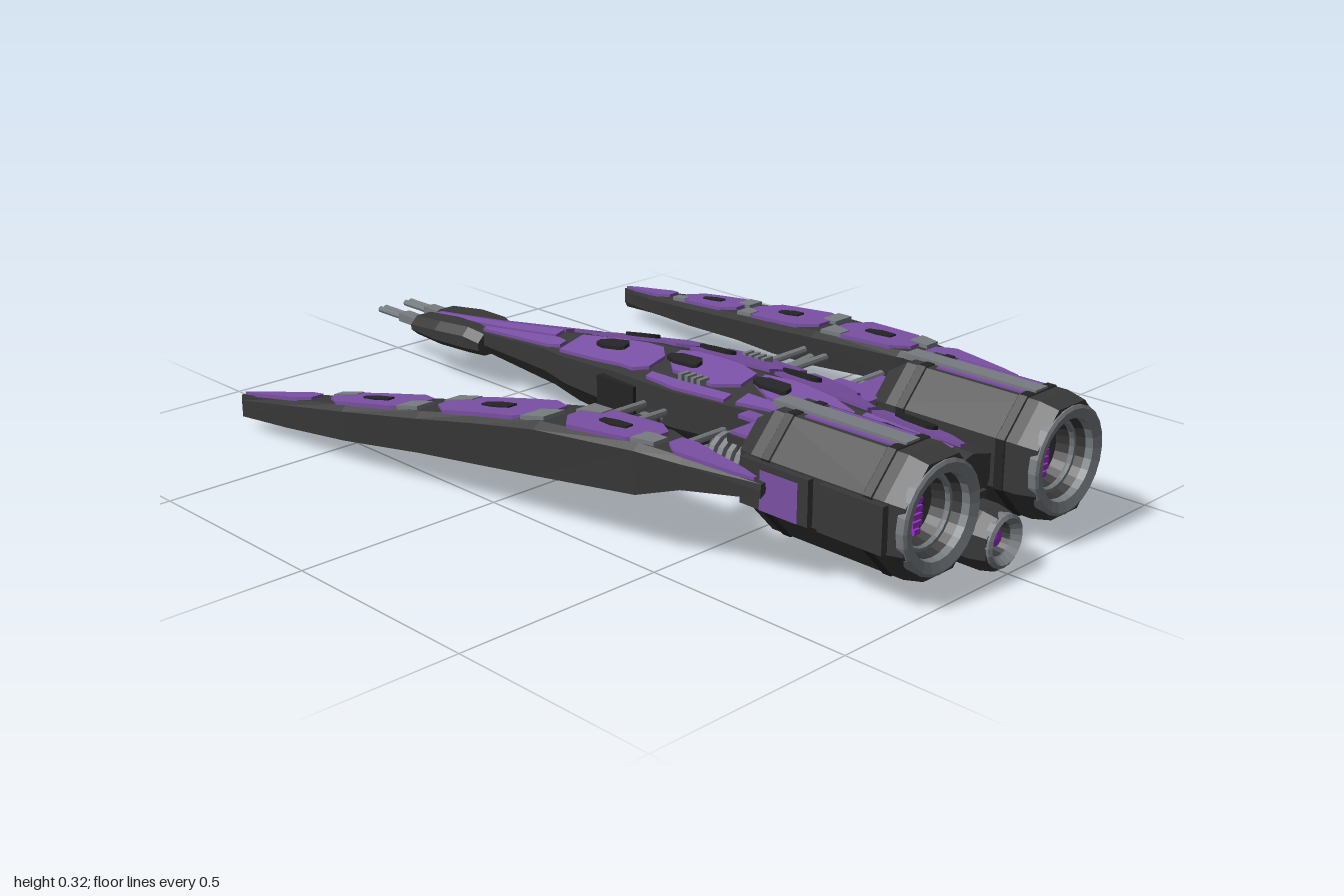
import * as THREE from 'three';

const mat = (name, color) => {
  const m = new THREE.MeshStandardMaterial({ color });
  m.name = name;
  return m;
};
const lerp = THREE.MathUtils.lerp;

// Interpolates every column of a table of rows keyed by z (descending)
function sample(table, z) {
  let i = 0;
  while (i < table.length - 2 && z < table[i + 1][0]) i++;
  const [a, b] = [table[i], table[i + 1]];
  const t = THREE.MathUtils.clamp((z - a[0]) / (b[0] - a[0]), 0, 1);
  return a.map((v, k) => lerp(v, b[k], t));
}

// Closed solid through rings of [x, y, z] points, always turned outward
function loft(rings) {
  const n = rings[0].length, tris = [];
  for (let i = 0; i < rings.length - 1; i++) {
    for (let j = 0; j < n; j++) {
      const k = (j + 1) % n, a = rings[i], b = rings[i + 1];
      tris.push([a[j], a[k], b[k]], [a[j], b[k], b[j]]);
    }
  }
  const last = rings[rings.length - 1];
  for (let j = 1; j < n - 1; j++) {
    tris.push([rings[0][0], rings[0][j + 1], rings[0][j]], [last[0], last[j], last[j + 1]]);
  }
  const V = (p) => new THREE.Vector3(...p);
  const volume = tris.reduce((s, t) => s + V(t[0]).dot(V(t[1]).cross(V(t[2]))), 0);
  if (volume < 0) tris.forEach((t) => t.reverse());
  const g = new THREE.BufferGeometry();
  g.setAttribute('position', new THREE.Float32BufferAttribute(tris.flat(2), 3));
  return g;
}

// Thin plate that follows a surface y(x, z); rows are [z, innerX, outerX]
function strip(surface, rows, lift = 0.008, toX = (u) => u) {
  const rings = [];
  rows.forEach((r, i) => {
    const next = rows[i + 1], steps = next ? 3 : 1;
    for (let s = 0; s < steps; s++) {
      const [z, a, b] = next ? r.map((v, k) => lerp(v, next[k], s / steps)) : r;
      const xa = toX(a, z), xb = toX(b, z), ya = surface(xa, z) + lift, yb = surface(xb, z) + lift;
      rings.push([[xa, ya, z], [xb, yb, z], [xb, yb - 0.0095, z], [xa, ya - 0.0095, z]]);
    }
  });
  return loft(rings);
}

const box = (x, y, z, w, h, d) => new THREE.BoxGeometry(w, h, d).translate(x, y, z);
// Turned part along z; profile points are [radius, z]
const turned = (pts, sides, x, y, sx = 1, phase = 0) =>
  new THREE.LatheGeometry(pts.map((p) => new THREE.Vector2(...p)), sides, phase)
    .rotateX(Math.PI / 2).scale(sx, 1, 1).translate(x, y, 0);
function rod(a, b, r, sides = 8) {
  const p = new THREE.Vector3(...a), q = new THREE.Vector3(...b), d = q.clone().sub(p);
  const turn = new THREE.Quaternion().setFromUnitVectors(new THREE.Vector3(0, 1, 0), d.clone().normalize());
  const mid = p.add(q).multiplyScalar(0.5);
  return new THREE.CylinderGeometry(r, r, d.length(), sides).applyQuaternion(turn).translate(mid.x, mid.y, mid.z);
}

// z, half width, ridge height, belly height
const HULL = [
  [0.9, 0.06, 0.235, 0.12], [0.6, 0.09, 0.25, 0.1], [0.45, 0.13, 0.265, 0.085], [0.2, 0.155, 0.265, 0.075],
  [0, 0.14, 0.255, 0.075], [-0.2, 0.11, 0.225, 0.08], [-0.3, 0.085, 0.21, 0.09],
  [-0.58, 0.05, 0.17, 0.1], [-0.82, 0.022, 0.142, 0.11],
];
const hullY = (x, z) => sample(HULL, z)[2] - 0.25 * Math.abs(x);

// z, inner x, outer x, top height, depth of outer edge
const WING = [
  [0.72, 0.415, 0.43, 0.24, 0.03], [0.53, 0.385, 0.46, 0.25, 0.07], [0.42, 0.35, 0.48, 0.252, 0.11],
  [0.16, 0.35, 0.52, 0.238, 0.12], [0, 0.385, 0.545, 0.215, 0.11], [-0.17, 0.437, 0.575, 0.188, 0.095],
  [-0.4, 0.5, 0.608, 0.152, 0.085], [-0.61, 0.57, 0.622, 0.116, 0.07], [-0.77, 0.625, 0.635, 0.09, 0.055],
];
const wingY = (x, z) => sample(WING, z)[3];
const wingX = (u, z) => { const w = sample(WING, z); return lerp(w[1], w[2], u); };

export function createModel() {
  const model = new THREE.Group();
  const dark = mat('dark armour', 0x383838), black = mat('black trim', 0x242424);
  const steel = mat('grey metal', 0x777c80), purple = mat('purple panel', 0x7a50a4), glow = mat('violet core', 0x9a30cc);

  const add = (name, geo, material) => {
    const g = geo.index ? geo.toNonIndexed() : geo;
    g.computeVertexNormals();
    const mesh = new THREE.Mesh(g, material);
    mesh.name = name;
    model.add(mesh);
  };
  const addPair = (name, geo, material) => {
    const g = geo.index ? geo.toNonIndexed() : geo, m = g.clone().scale(-1, 1, 1), p = m.attributes.position;
    for (let i = 0; i < p.count; i += 3) {
      const v = [p.getX(i), p.getY(i), p.getZ(i)];
      p.setXYZ(i, p.getX(i + 1), p.getY(i + 1), p.getZ(i + 1));
      p.setXYZ(i + 1, ...v);
    }
    add(name + 'Left', g, material);
    add(name + 'Right', m, material);
  };

  // Fuselage with a pitched roof and a chamfered belly
  add('fuselage', loft(HULL.map(([z, w, top, bot]) => {
    const e = top - 0.25 * w, m = lerp(bot, e, 0.45);
    return [[0, top, z], [w, e, z], [w, m, z], [w * 0.6, bot, z], [-w * 0.6, bot, z], [-w, m, z], [-w, e, z]];
  })), dark);
  [
    [[-0.81, 0.002, 0.012], [-0.55, 0.002, 0.024], [-0.32, 0.002, 0.03]],
    [[-0.58, 0.032, 0.043], [-0.3, 0.038, 0.075], [-0.26, 0.05, 0.07]],
    [[-0.24, 0.015, 0.09], [-0.1, 0.012, 0.108], [0.04, 0.02, 0.12], [0.075, 0.05, 0.1]],
    [[0.09, 0.015, 0.05], [0.14, 0.005, 0.09], [0.27, 0.005, 0.1], [0.33, 0.02, 0.07]],
    [[0.1, 0.115, 0.135], [0.2, 0.12, 0.148], [0.34, 0.11, 0.135]],
    [[0.35, 0.015, 0.05], [0.42, 0.005, 0.082], [0.54, 0.005, 0.08], [0.61, 0.02, 0.05]],
    [[0.37, 0.09, 0.13], [0.52, 0.092, 0.105]],
    [[0.63, 0.008, 0.05], [0.7, 0.008, 0.07], [0.8, 0.008, 0.06], [0.86, 0.01, 0.03]],
  ].forEach((rows) => addPair('hullPanel', strip(hullY, rows), purple));

  // Raised hatches, vents and side blocks on the hull
  [[0.05, -0.1], [0.055, 0.14], [0.05, 0.4], [0.045, 0.72]].forEach(([x, z]) =>
    addPair('hatch', strip(hullY, [[z - 0.05, x - 0.008, x + 0.004], [z - 0.02, x - 0.018, x + 0.014],
      [z + 0.04, x - 0.018, x + 0.014], [z + 0.05, x - 0.008, x + 0.008]], 0.0165), black));
  for (let i = 0; i < 4; i++) addPair('vent', box(0.103, 0.249, 0.19 + i * 0.019, 0.03, 0.014, 0.01), steel);
  addPair('sideBlock', box(0.14, 0.17, 0.02, 0.03, 0.07, 0.12), black);
  [[0.3, 0.14], [0.05, 0.13]].forEach(([z, w]) => addPair('bellyRib', box(w * 0.5, 0.08, z, w, 0.03, 0.08), black));
  add('tailBlock', box(0, 0.175, 0.8, 0.13, 0.09, 0.16), dark);

  // Gun housing and twin barrels
  addPair('gunHousing', loft([[-0.57, 0.07, 0.155], [-0.62, 0.08, 0.165], [-0.72, 0.09, 0.16], [-0.83, 0.08, 0.148], [-0.84, 0.07, 0.14]]
    .map(([z, w, t]) => [[0.015, t, z], [w - 0.02, t, z], [w, t - 0.02, z], [w, 0.115, z], [w - 0.02, 0.098, z], [0.015, 0.098, z]])), dark);
  add('gunBridge', box(0, 0.114, -0.7, 0.06, 0.03, 0.24), dark);
  [0.033, 0.05].forEach((x) => addPair('barrel', rod([x, 0.125, -0.82], [x, 0.125, -1], 0.0085), steel));
  addPair('barrelSleeve', box(0.0415, 0.125, -0.87, 0.034, 0.022, 0.08), steel);

  // Curved wings with split armour panels
  addPair('wing', loft(WING.map(([z, a, b, y, t]) => {
    const w = b - a;
    return [[a, y - 0.012, z], [a + w * 0.12, y, z], [b - w * 0.12, y, z], [b, y - 0.014, z],
      [b - w * 0.03, y - t, z], [b - w * 0.4, y - t * 0.9, z], [a + w * 0.05, y - t * 0.7, z]];
  })), dark);
  const wingPlate = (name, rows, m, lift) => addPair(name, strip(wingY, rows, lift, wingX), m);
  [[0.7, 0.47], [0.43, 0.19], [0.14, -0.16], [-0.21, -0.48], [-0.53, -0.76]].forEach(([a, b], i) => {
    const d = (b - a) * 0.18;
    wingPlate('wingPanel', [[a, 0.3, 0.75], [a + d, 0.1, 0.9], [b - d, 0.1, 0.9], [b, 0.25, 0.6]], purple, 0.007);
    if (i > 0 && i < 4) {
      const m = (a + b) / 2;
      wingPlate('wingSlot', [[m + 0.04, 0.45, 0.6], [m, 0.42, 0.62], [m - 0.04, 0.45, 0.55]], black, 0.011);
      wingPlate('wingPatch', [[a + 0.025, 0.5, 0.85], [a - 0.03, 0.55, 0.9]], steel, 0.009);
      wingPlate('wingPatch', [[b + 0.05, 0.1, 0.3], [b - 0.01, 0.08, 0.4]], steel, 0.009);
    }
  });

  // Struts and ribbed pistons joining wings to hull
  [0.125, 0.195, 0.365, 0.425].forEach((z) =>
    addPair('strut', rod([0.12, 0.17, z - 0.02], [0.39, 0.19, z + 0.015], 0.009), steel));
  [0.16, 0.395].forEach((z) => {
    addPair('piston', rod([0.12, 0.15, z], [0.39, 0.175, z], 0.013), steel);
    for (let i = 0; i < 6; i++) {
      const x = 0.17 + i * 0.021;
      addPair('pistonRing', rod([x, 0.155, z], [x + 0.011, 0.156, z], 0.023, 10), i % 2 ? steel : dark);
    }
  });

  // Main engines
  const ex = 0.21, ey = 0.187;
  addPair('engineBody', turned([[0, 0.54], [0.1, 0.54], [0.14, 0.6], [0.14, 0.94], [0.13, 0.985], [0.118, 0.985]], 8, ex, ey, 0.92, Math.PI / 8), dark);
  addPair('nozzle', turned([[0.119, 0.97], [0.119, 0.988], [0.112, 0.992], [0.09, 0.985], [0.088, 0.965]], 24, ex, ey), steel);
  addPair('nozzleThroat', turned([[0.088, 0.968], [0.08, 0.94], [0.075, 0.94], [0.066, 0.91], [0.0, 0.9]], 24, ex, ey), dark);
  addPair('throatRing', new THREE.TorusGeometry(0.076, 0.007, 6, 24).translate(ex, ey, 0.945), steel);
  for (let i = -3; i <= 3; i++) addPair('engineCore', box(ex, ey + i * 0.016, 0.915, Math.abs(i) > 2 ? 0.018 : 0.028, 0.012, 0.03), glow);
  addPair('coreHub', turned([[0.036, 0.9], [0.036, 0.915], [0, 0.918]], 12, ex, ey), black);
  addPair('engineSpine', box(ex, 0.317, 0.74, 0.042, 0.014, 0.34), steel);
  [-1, 1].forEach((s) => addPair('engineStripe', box(ex + s * 0.033, 0.317, 0.78, 0.011, 0.007, 0.22), purple));
  addPair('engineSidePlate', box(0.335, ey, 0.675, 0.018, 0.1, 0.18), dark);
  addPair('engineSidePlate', box(0.335, ey, 0.87, 0.018, 0.1, 0.16), dark);
  addPair('engineSidePanel', box(0.342, 0.18, 0.69, 0.009, 0.085, 0.1), purple);
  [0.64, 0.9].forEach((z) => addPair('engineBand', turned([[0.138, z - 0.014], [0.143, z - 0.01], [0.143, z + 0.01], [0.138, z + 0.014]], 8, ex, ey, 0.92, Math.PI / 8), black));

  // Ribbed engine necks and shoulder blocks
  addPair('engineNeck', turned([[0, 0.41], [0.038, 0.41], [0.038, 0.56]], 14, 0.225, 0.165), dark);
  for (let i = 0; i < 4; i++) {
    const z = 0.425 + i * 0.025;
    addPair('neckRib', turned([[0.036, z], [0.05, z], [0.05, z + 0.014], [0.036, z + 0.014]], 14, 0.225, 0.165), steel);
  }
  addPair('engineShoulder', box(0.165, 0.195, 0.51, 0.17, 0.06, 0.1), dark);
  addPair('shoulderPanel', box(0.17, 0.228, 0.51, 0.15, 0.009, 0.09), purple);
  addPair('shoulderPanel', box(0.13, 0.228, 0.44, 0.07, 0.009, 0.06), purple);
  addPair('engineMount', box(0.09, 0.175, 0.72, 0.08, 0.06, 0.2), dark);

  // Lower centre engine
  add('lowerEngine', turned([[0, 0.55], [0.03, 0.56], [0.052, 0.64], [0.07, 0.74], [0.07, 0.95], [0.062, 0.985], [0.055, 0.985]], 8, 0, 0.07, 1, Math.PI / 8), dark);
  add('lowerPylon', box(0, 0.12, 0.74, 0.08, 0.06, 0.34), dark);
  add('lowerNozzle', turned([[0.058, 0.97], [0.058, 0.99], [0.05, 0.995], [0.036, 0.975]], 20, 0, 0.073), steel);
  add('lowerThroat', turned([[0.037, 0.977], [0.033, 0.95], [0, 0.95]], 20, 0, 0.073), dark);
  add('lowerCore', turned([[0.02, 0.95], [0.018, 0.968], [0, 0.972]], 12, 0, 0.073), glow);
  add('antenna', rod([0.03, 0.05, 0.58], [0.062, 0.008, 0.58], 0.003, 5), black);
  return model;
}
